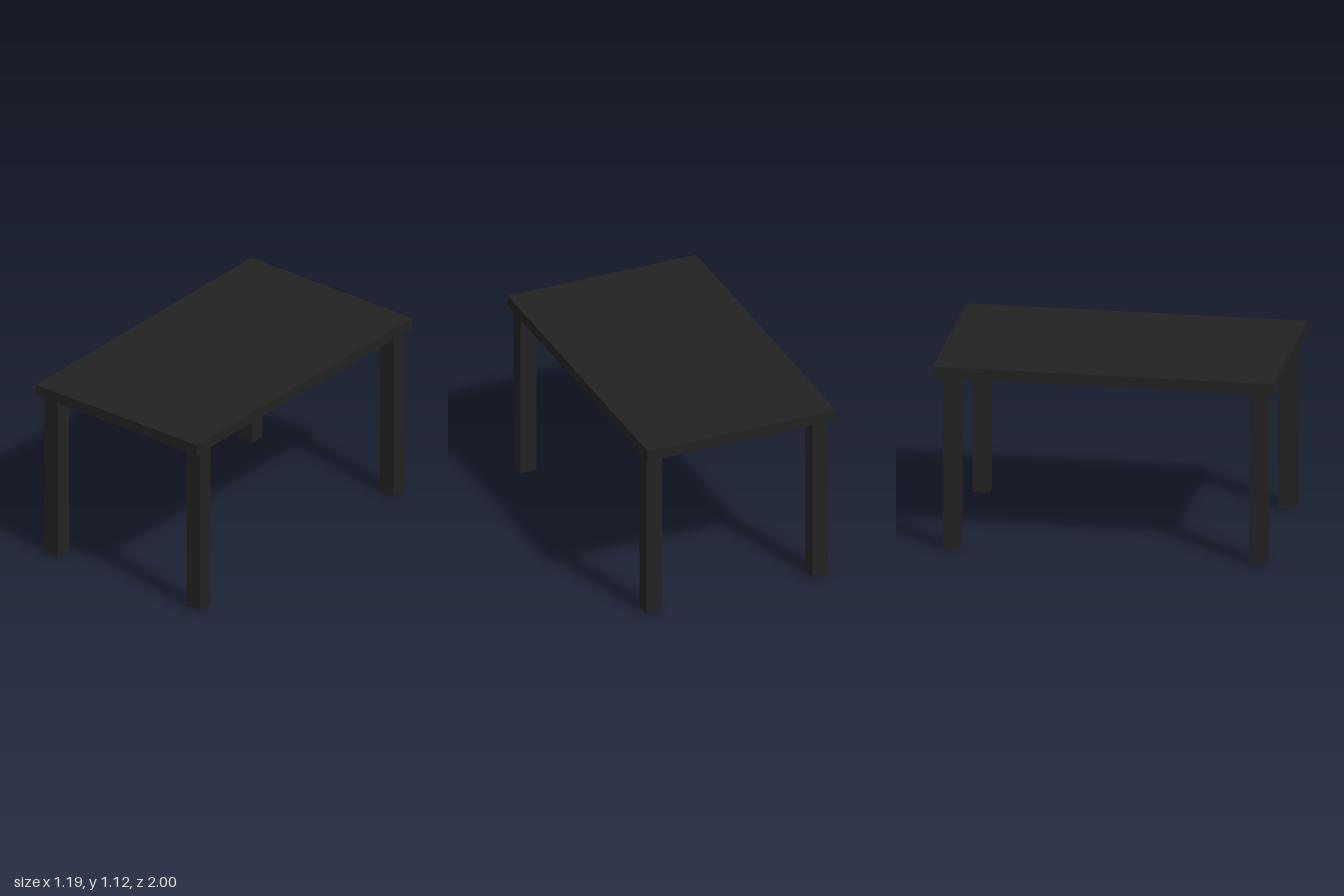
import * as THREE from 'three';

export function createModel() {
  const table = new THREE.Group();
  table.name = 'table';
  const material = new THREE.MeshStandardMaterial({ color: 0x222222 });

  // Box resting on y = bottom
  const addBox = (parent, name, [w, h, d], x, bottom, z) => {
    const mesh = new THREE.Mesh(new THREE.BoxGeometry(w, h, d), material);
    mesh.name = name;
    mesh.position.set(x, bottom + h / 2, z);
    parent.add(mesh);
  };

  const height = 1.123, topThickness = 0.066, footHeight = 0.013;
  const underside = height - topThickness;

  // Table top
  addBox(table, 'tableTop', [1.194, topThickness, 2], 0, underside, 0);

  // Four square legs, each on a small inset foot
  for (const [side, x] of [['Right', -0.52], ['Left', 0.532]]) {
    for (const [end, z] of [['front', 0.902], ['back', -0.897]]) {
      const leg = new THREE.Group();
      leg.name = `${end}${side}Leg`;
      leg.position.set(x, 0, z);
      addBox(leg, 'post', [0.1, underside - footHeight, 0.1], 0, footHeight, 0);
      addBox(leg, 'foot', [0.047, footHeight, 0.047], 0, 0, 0);
      table.add(leg);
    }
  }
  return table;
}
